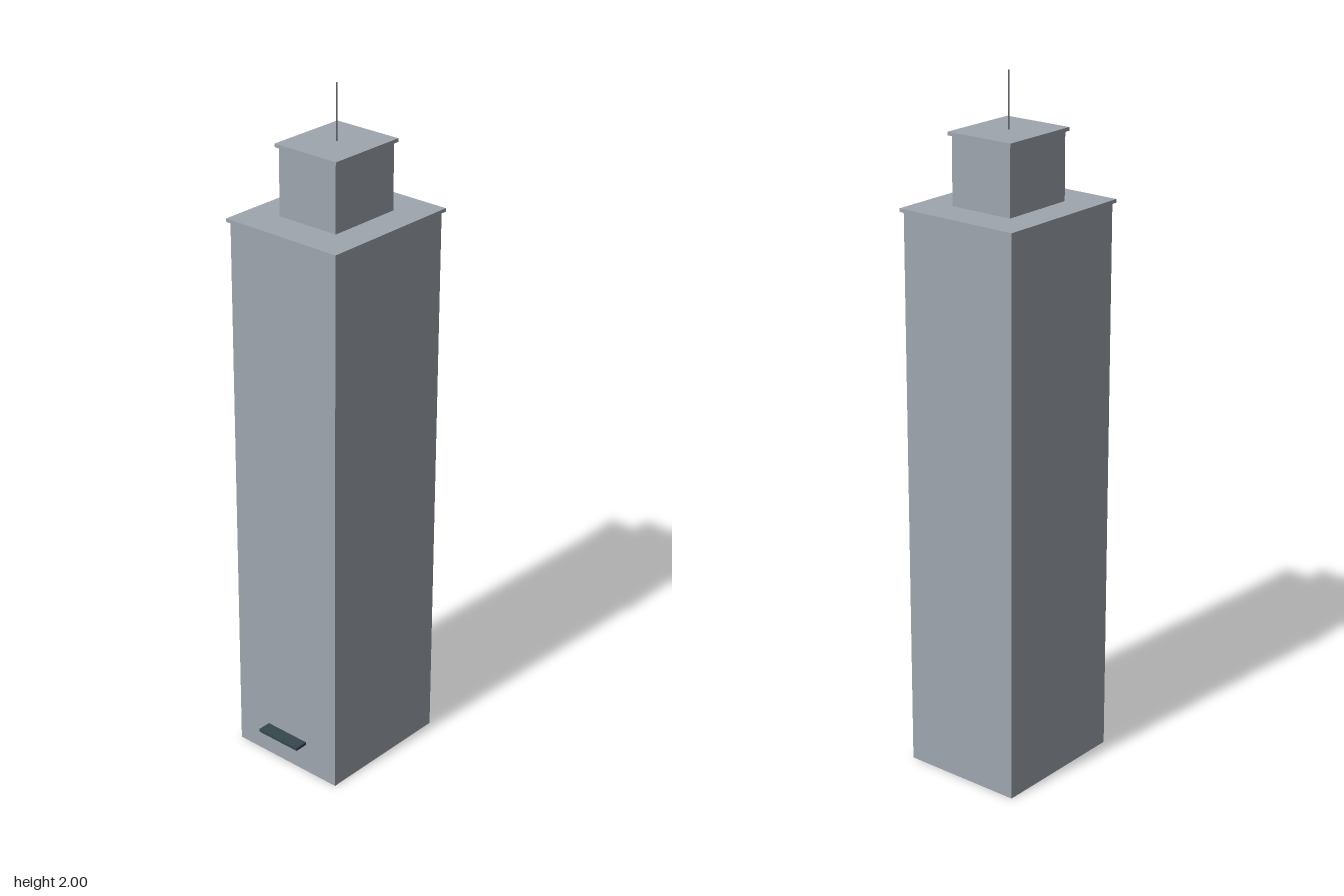
import * as THREE from 'three';

export function createModel() {
  const tower = new THREE.Group();
  tower.name = 'tower';

  const material = (name, color) => {
    const m = new THREE.MeshStandardMaterial({ color });
    m.name = name;
    return m;
  };
  const concrete = material('grey concrete', 0x9fa6ae);
  const darkMetal = material('dark slate metal', 0x37474f);
  const mastMetal = material('mast grey', 0x5f656d);

  const axisZ = -0.017; // the shaft sits slightly back to leave room for the canopy

  // Box given by its width, depth, bottom and top
  const block = (name, width, depth, bottom, top, mat, z = axisZ) => {
    const mesh = new THREE.Mesh(new THREE.BoxGeometry(width, top - bottom, depth), mat);
    mesh.name = name;
    mesh.position.set(0, (bottom + top) / 2, z);
    tower.add(mesh);
  };

  // Main shaft with its overhanging roof slab
  block('mainShaft', 0.369, 0.425, 0, 1.631, concrete);
  block('mainRoofSlab', 0.384, 0.441, 1.631, 1.641, concrete);

  // Rooftop storey with its own slab
  block('rooftopStorey', 0.197, 0.23, 1.641, 1.832, concrete);
  block('rooftopSlab', 0.213, 0.245, 1.832, 1.842, concrete);

  // Entrance canopy, let slightly into the front wall
  block('entranceCanopy', 0.146, 0.046, 0.09, 0.099, darkMetal, 0.213);

  // Thin mast
  const mast = new THREE.Mesh(new THREE.CylinderGeometry(0.002, 0.002, 0.158, 8), mastMetal);
  mast.name = 'mast';
  mast.position.set(0, 1.921, axisZ);
  tower.add(mast);

  return tower;
}
